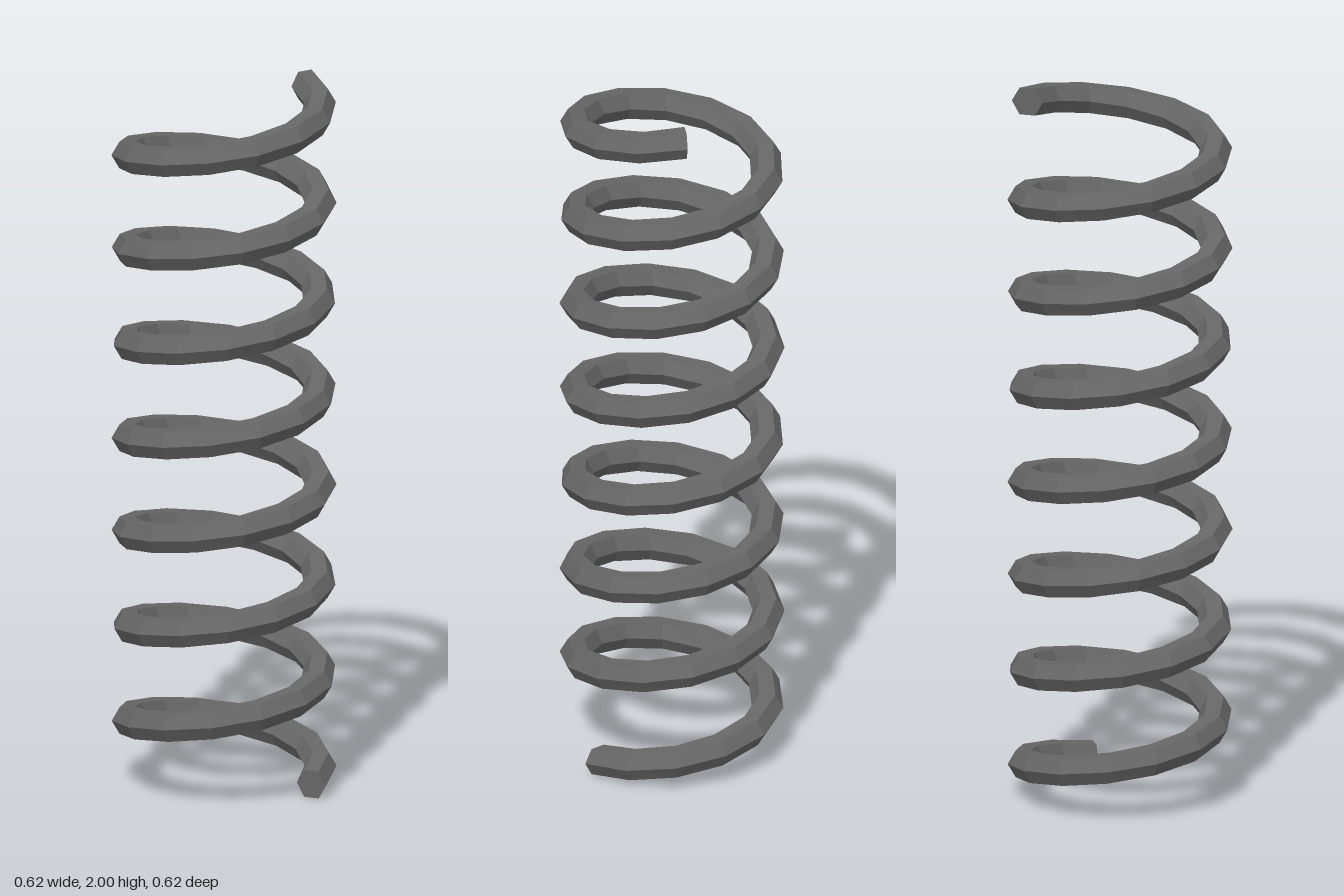
import * as THREE from 'three';

const COIL_RADIUS = 0.265;
const WIRE_RADIUS = 0.044;
const SIDES = 6;
const STEPS = 98;
const TOTAL_ANGLE = 45; // radians, a little over seven turns
const HALF_WIRE = WIRE_RADIUS * Math.sin(Math.PI / 3);

// Sweeps an upright hexagonal section along a helix and closes both ends.
function coilGeometry() {
  const positions = [];
  const index = [];
  for (let i = 0; i <= STEPS; i++) {
    const t = i / STEPS;
    const a = t * TOTAL_ANGLE;
    const y = HALF_WIRE + t * (2 - 2 * HALF_WIRE);
    for (let j = 0; j < SIDES; j++) {
      const b = (j / SIDES) * Math.PI * 2;
      const r = COIL_RADIUS + WIRE_RADIUS * Math.cos(b);
      positions.push(r * Math.cos(a), y + WIRE_RADIUS * Math.sin(b), -r * Math.sin(a));
    }
  }
  // Wire sides
  for (let i = 0; i < STEPS; i++) {
    for (let j = 0; j < SIDES; j++) {
      const k = (j + 1) % SIDES;
      const A = i * SIDES + j;
      const B = i * SIDES + k;
      const C = A + SIDES;
      const D = B + SIDES;
      index.push(A, C, B, B, C, D);
    }
  }
  // End caps
  const last = STEPS * SIDES;
  for (let j = 1; j < SIDES - 1; j++) {
    index.push(0, j, j + 1);
    index.push(last, last + j + 1, last + j);
  }
  const indexed = new THREE.BufferGeometry();
  indexed.setAttribute('position', new THREE.Float32BufferAttribute(positions, 3));
  indexed.setIndex(index);
  const geometry = indexed.toNonIndexed();
  geometry.computeVertexNormals();
  return geometry;
}

export function createModel() {
  const group = new THREE.Group();
  group.name = 'coilSpring';
  const material = new THREE.MeshStandardMaterial({ color: 0x666666, flatShading: true });
  const coil = new THREE.Mesh(coilGeometry(), material);
  coil.name = 'springWire';
  group.add(coil);
  return group;
}
